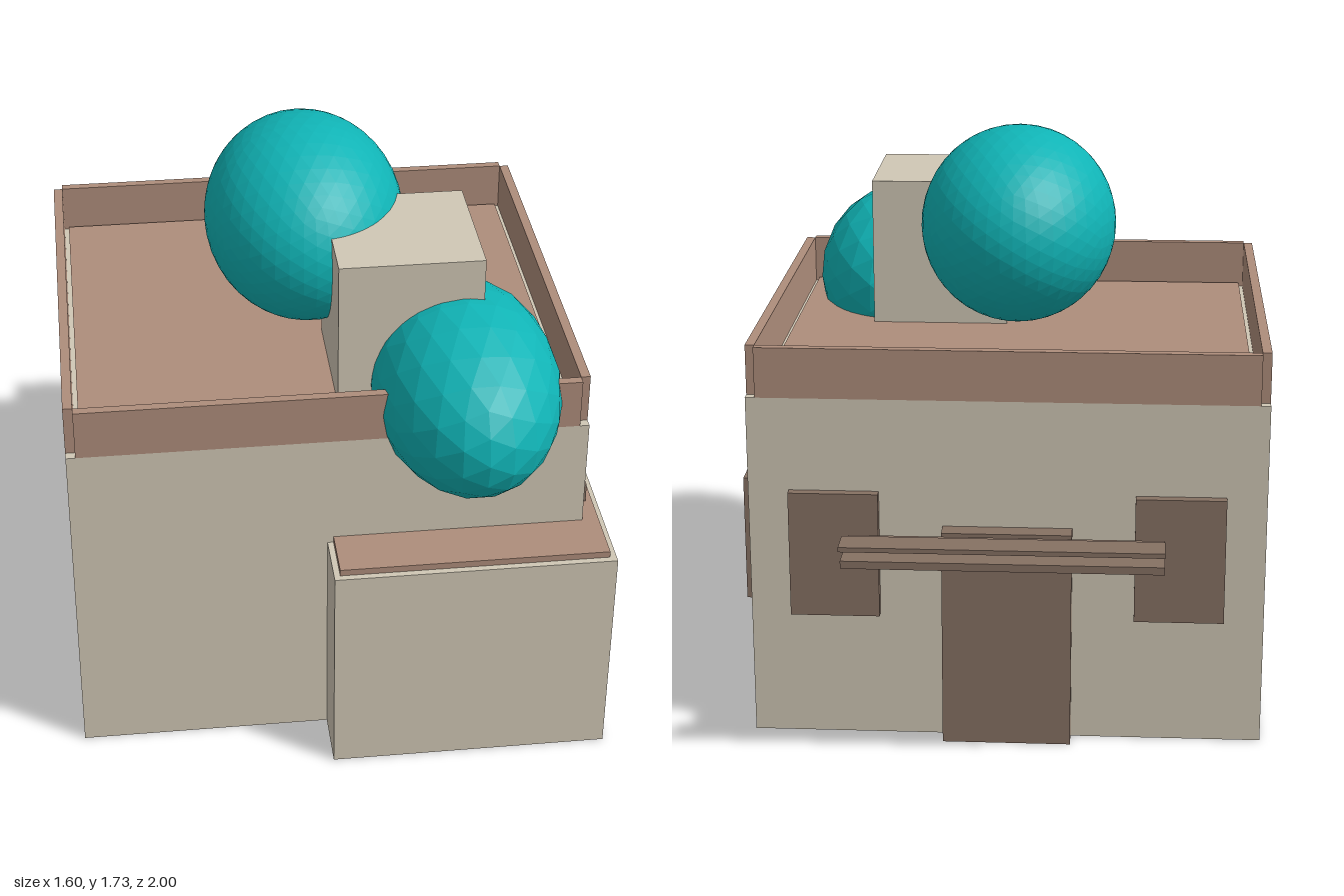
import * as THREE from 'three';

const mat = (color) => new THREE.MeshStandardMaterial({ color });

export function createModel() {
  const model = new THREE.Group();
  const wall = mat(0xd0c7b5), trim = mat(0xae8d7b), wood = mat(0x867163), teal = mat(0x10b4b6);
  teal.flatShading = true;

  // Box given by its [min, max] along each axis
  function box(name, material, [x0, x1], [y0, y1], [z0, z1]) {
    const mesh = new THREE.Mesh(new THREE.BoxGeometry(x1 - x0, y1 - y0, z1 - z0), material);
    mesh.position.set((x0 + x1) / 2, (y0 + y1) / 2, (z0 + z1) / 2);
    mesh.name = name;
    model.add(mesh);
  }

  // Faceted ellipsoid
  function dome(name, detail, position, radii) {
    const mesh = new THREE.Mesh(new THREE.IcosahedronGeometry(1, detail), teal);
    mesh.position.set(...position);
    mesh.scale.set(...radii);
    mesh.name = name;
    model.add(mesh);
  }

  // Main house and its roof floor
  const L = -0.8, R = 0.728, B = -0.67, F = 0.708, eave = 1.058, top = 1.21, t = 0.028;
  box('mainBody', wall, [L, R], [0, eave], [B, F]);
  box('roofFloor', trim, [L + 0.042, R - 0.042], [eave, eave + 0.015], [B + 0.042, F - 0.042]);

  // Parapet: four walls that leave the corners open
  const rise = [eave, top];
  box('parapetFront', trim, [L + t, R - t], rise, [F - t, F]);
  box('parapetBack', trim, [L + t, R - t], rise, [B, B + t]);
  box('parapetLeft', trim, [R - t, R], rise, [B + t, F - t]);
  box('parapetRight', trim, [L, L + t], rise, [B + t, F - t]);

  // Front annex with a thin roof slab
  box('annex', wall, [-0.043, 0.798], [0, 0.695], [0.248, 0.893]);
  box('annexRoof', trim, [-0.025, 0.778], [0.695, 0.715], [0.268, 0.873]);

  // Rooftop block and domes
  box('roofBlock', wall, [0.007, 0.434], [eave, 1.535], [0.11, 0.537]);
  dome('largeDome', 7, [-0.037, 1.43, 0.012], [0.304, 0.304, 0.381]);
  dome('smallDome', 3, [0.38, 1.136, 0.568], [0.278, 0.278, 0.43]);

  // Window shutters on the side and the back
  const sill = [0.39, 0.775];
  for (const z of [-0.441, 0.481]) box('sideWindow', wood, [R, R + 0.03], sill, [z - 0.134, z + 0.134]);
  for (const x of [-0.548, 0.474]) box('backWindow', wood, [x - 0.133, x + 0.133], sill, [B - 0.03, B]);

  // Back door with two awning boards
  box('door', wood, [-0.23, 0.153], [0, 0.67], [B - 0.06, B]);
  box('awningLower', wood, [-0.5, 0.422], [0.645, 0.668], [-0.96, -0.752]);
  box('awningUpper', wood, [-0.5, 0.422], [0.711, 0.725], [-1, -0.908]);

  return model;
}
